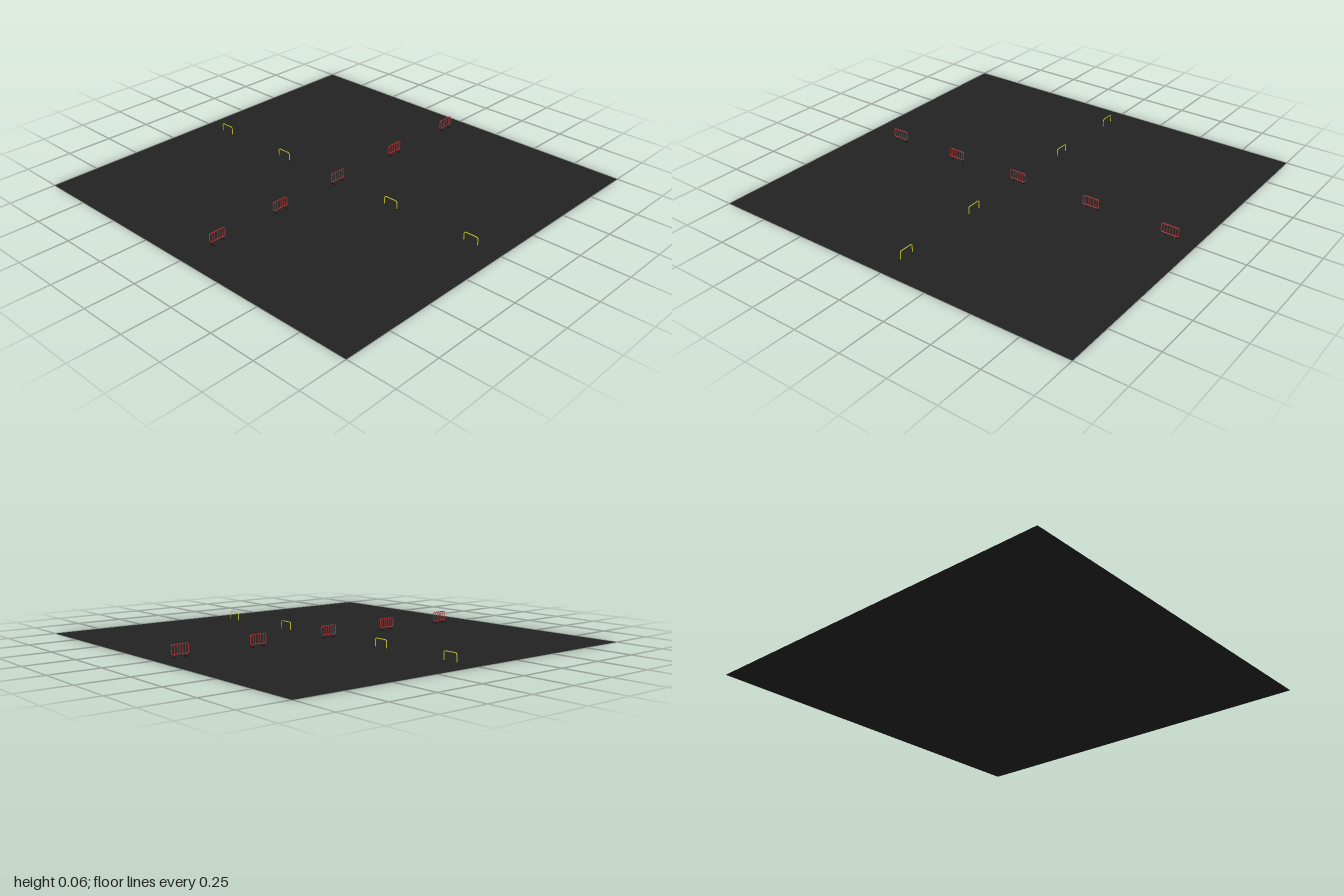
import * as THREE from 'three';

const mat = (name, color) => new THREE.MeshStandardMaterial({ name, color });

// Rounded path made of straight runs and quadratic corners
function roundedPath(points, r, closed) {
  const path = new THREE.CurvePath();
  const n = points.length;
  const toward = (a, b) => a.clone().add(b.clone().sub(a).setLength(r));
  let pen = closed ? toward(points[0], points[1]) : points[0];
  for (let i = 1; i <= (closed ? n : n - 2); i++) {
    const p = points[i % n];
    const before = toward(p, points[i - 1]);
    const after = toward(p, points[(i + 1) % n]);
    path.add(new THREE.LineCurve3(pen, before));
    path.add(new THREE.QuadraticBezierCurve3(before, p, after));
    pen = after;
  }
  if (!closed) path.add(new THREE.LineCurve3(pen, points[n - 1]));
  return path;
}

export function createModel() {
  const asphalt = mat('asphalt', 0x222222);
  asphalt.side = THREE.DoubleSide;
  const red = mat('barrierRed', 0xb03030);
  const yellow = mat('hoopYellow', 0xc0c018);
  const black = mat('footBlack', 0x141414);

  const model = new THREE.Group();
  const add = (parent, name, geometry, material, x = 0, y = 0, z = 0) => {
    const mesh = new THREE.Mesh(geometry, material);
    mesh.name = name;
    mesh.position.set(x, y, z);
    parent.add(mesh);
    return mesh;
  };
  const v = (x, y, z) => new THREE.Vector3(x, y, z);

  // Ground sheet
  add(model, 'ground', new THREE.PlaneGeometry(2, 2).rotateX(-Math.PI / 2), asphalt);

  // Crowd barriers along x
  const framePath = roundedPath(
    [v(-0.045, 0.016, 0), v(0.045, 0.016, 0), v(0.045, 0.062, 0), v(-0.045, 0.062, 0)], 0.01, true);
  const frameGeo = new THREE.TubeGeometry(framePath, 80, 0.0022, 8, true);
  const barGeo = new THREE.CylinderGeometry(0.0015, 0.0015, 0.046, 8);
  const legGeo = new THREE.CylinderGeometry(0.002, 0.002, 0.016, 8);
  const footShape = new THREE.Shape([[-0.016, 0], [0.016, 0], [0.005, 0.008], [-0.005, 0.008]]
    .map(([x, y]) => new THREE.Vector2(x, y)));
  const footGeo = new THREE.ExtrudeGeometry(footShape, { depth: 0.004, bevelEnabled: false })
    .translate(0, 0, -0.002).rotateY(Math.PI / 2);

  for (const x of [-0.787, -0.396, 0, 0.434, 0.864]) {
    const barrier = new THREE.Group();
    barrier.name = 'barrier';
    barrier.position.x = x;
    add(barrier, 'frame', frameGeo, red);
    for (let i = -2; i <= 2; i++) add(barrier, 'bar', barGeo, red, i * 0.015, 0.039, 0);
    for (const side of [-1, 1]) {
      add(barrier, 'leg', legGeo, red, side * 0.032, 0.008, 0);
      add(barrier, 'foot', footGeo, black, side * 0.032, 0, 0);
    }
    model.add(barrier);
  }

  // Parking hoops along z
  const hoopPath = roundedPath(
    [v(0, 0, -0.039), v(0, 0.043, -0.039), v(0, 0.043, 0.039), v(0, 0, 0.039)], 0.012, false);
  const hoopGeo = new THREE.TubeGeometry(hoopPath, 70, 0.0024, 8, false);
  const plateGeo = new THREE.CylinderGeometry(0.005, 0.005, 0.002, 12);

  for (const z of [0.833, 0.353, -0.387, -0.838]) {
    const hoop = new THREE.Group();
    hoop.name = 'hoop';
    hoop.position.z = z;
    add(hoop, 'hoopTube', hoopGeo, yellow);
    for (const side of [-1, 1]) add(hoop, 'basePlate', plateGeo, black, 0, 0.001, side * 0.039);
    model.add(hoop);
  }

  return model;
}
